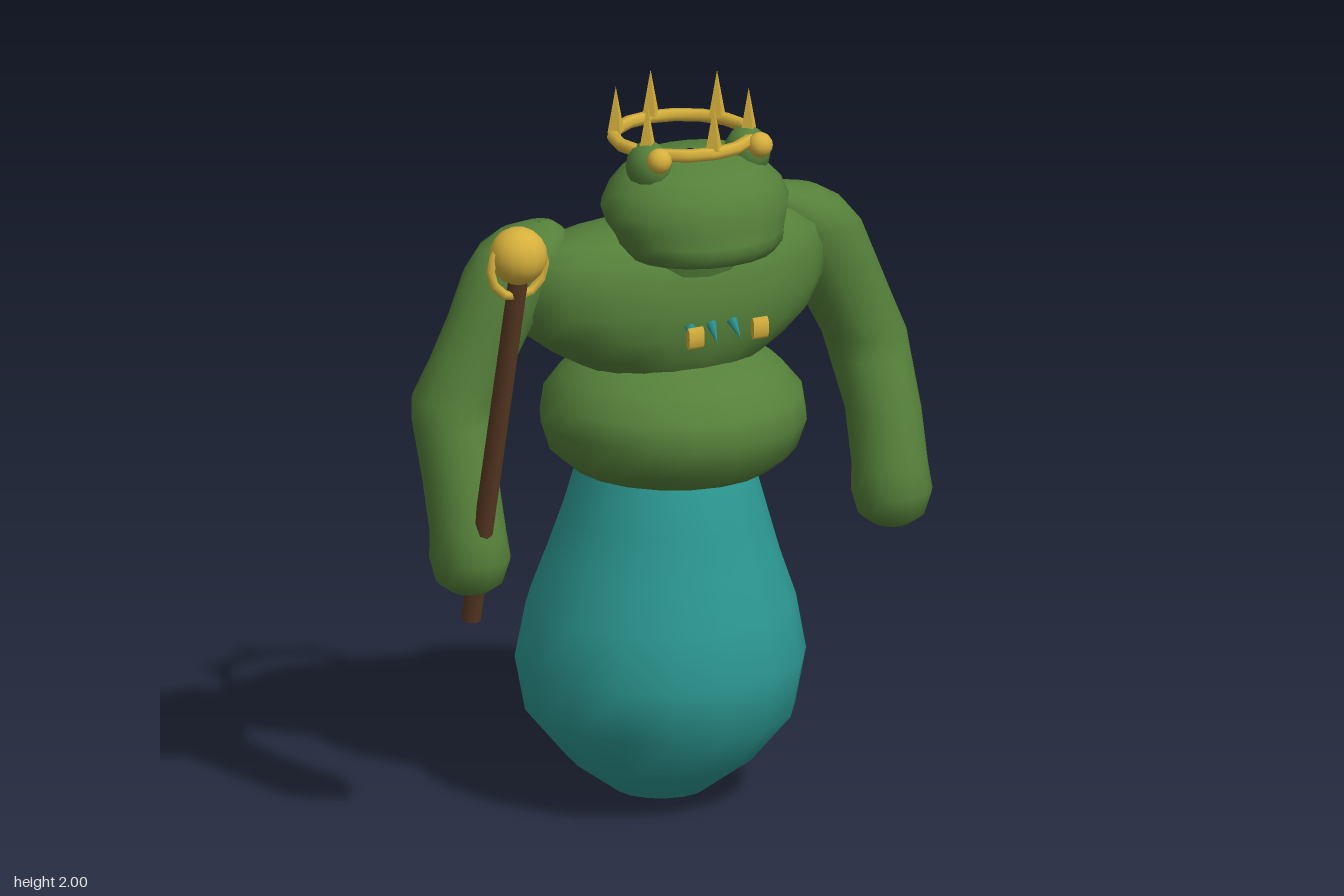
import * as THREE from 'three';

const mat = (name, color) => Object.assign(new THREE.MeshStandardMaterial({ color }), { name });

// Stacked elliptical rings, listed bottom-up as [x, y, z, radiusX, radiusZ]
function loft(sections, n = 16) {
  const pos = [], idx = [];
  for (const [x, y, z, rx, rz] of sections) {
    for (let j = 0; j < n; j++) {
      const a = (j / n) * Math.PI * 2;
      pos.push(x + Math.sin(a) * rx, y, z + Math.cos(a) * rz);
    }
  }
  for (let i = 0; i < sections.length - 1; i++) {
    for (let j = 0; j < n; j++) {
      const k = (j + 1) % n, a = i * n + j, b = i * n + k;
      idx.push(a, b, b + n, a, b + n, a + n);
    }
  }
  const g = new THREE.BufferGeometry();
  g.setAttribute('position', new THREE.Float32BufferAttribute(pos, 3));
  g.setIndex(idx);
  g.computeVertexNormals();
  return g;
}

export function createModel() {
  const model = new THREE.Group();
  const green = mat('skin green', 0x55803a);
  const teal = mat('teal', 0x2d9a94);
  const gold = mat('gold', 0xd6b03c);
  const brown = mat('wood brown', 0x5c3b25);

  const add = (name, geo, material, x = 0, y = 0, z = 0) => {
    const m = new THREE.Mesh(geo, material);
    m.name = name;
    m.position.set(x, y, z);
    model.add(m);
    return m;
  };

  // Pear-shaped lower body
  add('lowerBody', loft([
    [0, 0.005, -0.035, 0.005, 0.005], [0, 0.03, -0.035, 0.125, 0.125], [0, 0.12, -0.035, 0.25, 0.25],
    [0, 0.25, -0.035, 0.36, 0.36], [0, 0.4, -0.035, 0.388, 0.388], [0, 0.55, -0.032, 0.36, 0.36],
    [0, 0.68, -0.025, 0.312, 0.318], [0, 0.8, -0.015, 0.274, 0.282], [0, 0.93, -0.01, 0.235, 0.25],
    [0, 1.02, -0.005, 0.2, 0.2],
  ]), teal);

  // Belly roll
  add('belly', loft([
    [0, 0.92, 0.01, 0.02, 0.02], [0, 0.925, 0.015, 0.2, 0.2], [0, 0.95, 0.025, 0.27, 0.28],
    [0, 1.0, 0.033, 0.33, 0.335], [0, 1.08, 0.037, 0.357, 0.357], [0, 1.15, 0.035, 0.347, 0.343],
    [0, 1.21, 0.025, 0.3, 0.285], [0, 1.25, 0.015, 0.245, 0.215], [0, 1.29, 0.01, 0.15, 0.12],
  ], 20), green);

  // Broad hunched chest
  add('chest', loft([
    [0, 1.18, 0.01, 0.2, 0.15], [0, 1.24, 0.005, 0.25, 0.2], [0, 1.29, -0.005, 0.34, 0.235],
    [0, 1.35, -0.01, 0.42, 0.255], [0, 1.42, -0.01, 0.455, 0.26], [0, 1.5, -0.005, 0.46, 0.245],
    [0, 1.56, 0.01, 0.43, 0.205], [0, 1.6, 0.02, 0.36, 0.15], [0, 1.625, 0.03, 0.24, 0.08],
    [0, 1.63, 0.03, 0.01, 0.01],
  ], 20), green);
  add('neck', loft([[0, 1.5, 0.08, 0.19, 0.15], [0, 1.66, 0.15, 0.17, 0.13]]), green);

  // Wide flat head with a jutting mouth
  add('head', loft([
    [0, 1.56, 0.2, 0.01, 0.01], [0, 1.562, 0.2, 0.14, 0.1], [0, 1.58, 0.2, 0.2, 0.165],
    [0, 1.61, 0.195, 0.225, 0.193], [0, 1.635, 0.185, 0.232, 0.198], [0, 1.67, 0.165, 0.25, 0.212],
    [0, 1.71, 0.155, 0.26, 0.218], [0, 1.76, 0.155, 0.238, 0.2], [0, 1.8, 0.145, 0.2, 0.16],
    [0, 1.83, 0.135, 0.155, 0.115], [0, 1.84, 0.13, 0.01, 0.01],
  ], 20), green);

  for (const s of [1, -1]) {
    // Arms with rounded fists
    add(s > 0 ? 'leftArm' : 'rightArm', loft([
      [0.635, 0.69, 0.075, 0.01, 0.01], [0.635, 0.697, 0.075, 0.05, 0.055], [0.635, 0.725, 0.077, 0.088, 0.095],
      [0.635, 0.79, 0.079, 0.107, 0.116], [0.635, 0.86, 0.068, 0.1, 0.11], [0.637, 1, 0.028, 0.099, 0.114],
      [0.627, 1.14, -0.03, 0.108, 0.118], [0.617, 1.2, -0.042, 0.113, 0.115], [0.565, 1.3, -0.033, 0.12, 0.107],
      [0.507, 1.42, -0.025, 0.125, 0.107], [0.45, 1.53, -0.026, 0.135, 0.12], [0.415, 1.59, -0.032, 0.12, 0.11],
      [0.385, 1.625, -0.04, 0.09, 0.08], [0.36, 1.643, -0.045, 0.04, 0.035], [0.36, 1.645, -0.045, 0.003, 0.003],
    ].map(([x, ...r]) => [x * s, ...r])), green);

    // Eye mounds and eyes
    const mound = add('eyeMound', new THREE.SphereGeometry(0.07, 12, 8), green, 0.148 * s, 1.825, 0.175);
    mound.scale.set(0.85, 1, 1);
    add('eye', new THREE.SphereGeometry(0.034, 12, 8), gold, 0.152 * s, 1.86, 0.24);

    // Chest beads
    const bead = add('bead', new THREE.CylinderGeometry(0.03, 0.03, 0.045, 8), gold, 0.097 * s, 1.388, 0.34);
    bead.rotation.z = Math.PI / 2;
    bead.scale.z = 0.33;
  }

  // Hanging fangs
  for (const x of [-0.067, 0, 0.067]) {
    const fang = add('fang', new THREE.ConeGeometry(0.015, 0.06, 6), teal, x, 1.367, 0.264);
    fang.rotation.set(Math.PI - 0.65, 0, -x * 2);
  }

  // Crown: band and six spikes
  const band = add('crownBand', new THREE.TorusGeometry(0.183, 0.018, 6, 16), gold, 0, 1.867, 0.087);
  band.rotation.x = Math.PI / 2;
  for (let i = 0; i < 6; i++) {
    const a = (i * Math.PI) / 3;
    const geo = new THREE.ConeGeometry(0.025, 0.125, 4);
    add('crownSpike', geo.toNonIndexed(), gold, Math.sin(a) * 0.176, 1.938, 0.087 + Math.cos(a) * 0.176)
      .geometry.computeVertexNormals();
  }

  // Leaning staff with orb and ring
  const low = new THREE.Vector3(-0.635, 0.62, 0.085), high = new THREE.Vector3(-0.635, 1.66, 0.355);
  const mid = low.clone().add(high).multiplyScalar(0.5);
  const rod = add('staff', new THREE.CylinderGeometry(0.027, 0.027, low.distanceTo(high), 8), brown, mid.x, mid.y, mid.z);
  rod.rotation.x = Math.atan2(high.z - low.z, high.y - low.y);
  add('staffOrb', new THREE.SphereGeometry(0.078, 14, 10), gold, -0.635, 1.7, 0.347);
  add('staffRing', new THREE.TorusGeometry(0.082, 0.013, 6, 12), gold, -0.635, 1.668, 0.345);

  return model;
}
